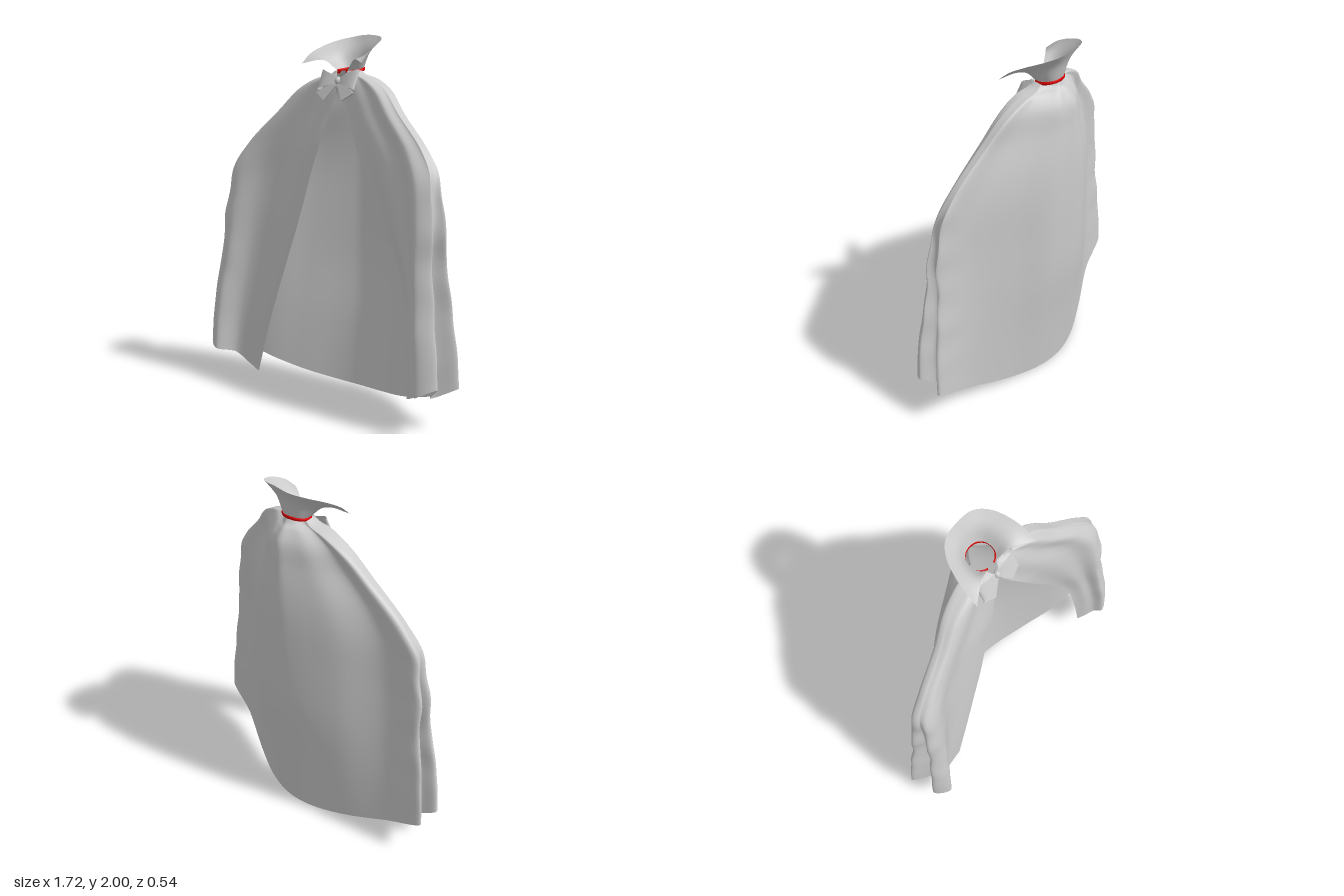
import * as THREE from 'three';

const V = (x, y, z) => new THREE.Vector3(x, y, z);
const lerp = THREE.MathUtils.lerp;
const grey = new THREE.MeshStandardMaterial({ color: 0xcccccc, side: THREE.DoubleSide });
const red = new THREE.MeshStandardMaterial({ color: 0xdd0000, side: THREE.DoubleSide });

// Smooth surface from a rule point(u, v), u and v in 0..1
function sheet(name, nu, nv, point, material = grey) {
  const pos = [], index = [];
  for (let j = 0; j <= nv; j++) {
    for (let i = 0; i <= nu; i++) pos.push(...point(i / nu, j / nv).toArray());
  }
  const n = nu + 1;
  for (let j = 0; j < nv; j++) {
    for (let i = 0; i < nu; i++) {
      const a = j * n + i, b = a + 1, c = a + n, d = c + 1;
      index.push(a, c, b, b, c, d);
    }
  }
  const geo = new THREE.BufferGeometry();
  geo.setAttribute('position', new THREE.Float32BufferAttribute(pos, 3));
  geo.setIndex(index);
  geo.computeVertexNormals();
  const mesh = new THREE.Mesh(geo, material);
  mesh.name = name;
  return mesh;
}

// Surface through cross-section curves, listed top to bottom
function loft(name, sections, nu, nv, adjust = p => p) {
  const curves = sections.map(s => new THREE.CatmullRomCurve3(s, false, 'centripetal'));
  const columns = [];
  for (let i = 0; i <= nu; i++) {
    columns.push(new THREE.CatmullRomCurve3(curves.map(c => c.getPoint(i / nu)), false, 'centripetal'));
  }
  return sheet(name, nu, nv, (u, v) => adjust(columns[Math.round(u * nu)].getPoint(v), u, v));
}

// Cape rows: height, half width, z of back, side, front fold and front edge,
// x of the right and left front edges, depth of the side folds
const rows = [
  [1.805, 0.078, -0.168, -0.10, -0.05, -0.035, 0.04, 0.04, 0],
  [1.785, 0.11, -0.178, -0.10, -0.04, -0.02, 0.03, 0.03, 0],
  [1.76, 0.205, -0.20, -0.09, -0.01, 0.00, 0.015, 0.02, 0],
  [1.70, 0.32, -0.235, -0.065, 0.015, 0.01, 0.01, 0.02, 0],
  [1.58, 0.445, -0.25, -0.02, 0.05, 0.025, 0.04, 0.07, 0],
  [1.40, 0.64, -0.265, 0.03, 0.10, 0.05, 0.10, 0.17, 0],
  [1.25, 0.735, -0.27, 0.055, 0.145, 0.06, 0.15, 0.25, 0.15],
  [1.00, 0.775, -0.27, 0.065, 0.185, 0.08, 0.22, 0.39, 0.5],
  [0.70, 0.80, -0.26, 0.06, 0.215, 0.10, 0.32, 0.53, 0.8],
  [0.35, 0.84, -0.22, 0.055, 0.25, 0.12, 0.43, 0.585, 0.9],
  [0.00, 0.86, -0.185, 0.05, 0.265, 0.13, 0.52, 0.62, 1],
];

function capeSection([y, w, zb, zs, zf, ze, xR, xL, fold]) {
  const hem = Math.max(0, 1 - y / 0.8);
  // The right panel hangs flat up to its fold, the left one is bunched and shorter
  const half = (s, edge, edgeZ, near, far, drop, rise) => {
    const front = 0.87 * w;
    return [
      [edge, edgeZ, drop],
      [lerp(edge, front, 0.35), lerp(edgeZ, zf, near), lerp(drop, rise, 0.5)],
      [lerp(edge, front, 0.7), lerp(edgeZ, zf, far), rise],
      [front, zf, rise],
      [w * 0.97, lerp(zs, zf, 0.7), rise],
      [w * (0.995 - 0.125 * fold), lerp(zs, zf, 0.42), 0],
      [w, zs, 0],
      [0.75 * w, lerp(zb, zs, 0.83), 0],
      [0.45 * w, lerp(zb, zs, 0.41), 0],
      [0.2 * w, lerp(zb, zs, 0.1), 0],
    ].map(([x, z, dy]) => V(s * x, y + 0.31 * hem * x * x + dy * hem, z));
  };
  return [...half(-1, xR, ze, 0.1, 0.27, -0.035, 0), V(0, y, zb),
    ...half(1, xL, ze + 0.04 * hem, 0.3, 0.55, 0.03, 0.035).reverse()];
}

// Soft pleats from the neck and creases along the sides
function wrinkle(p, u, v) {
  const mid = Math.sin(Math.PI * v);
  const side = THREE.MathUtils.smoothstep(Math.abs(p.x), 0.6, 0.8) * mid;
  p.z += 0.005 * mid * Math.sin(u * 75) + 0.004 * side * Math.sin(p.y * 27);
  p.x += 0.009 * side * Math.sin(p.y * 19 + Math.sign(p.x));
  return p;
}

// Flared collar, open at the front
function makeCollar() {
  const mirror = half => [...half.map(([x, y, z]) => V(-x, y, z)),
    ...half.slice(0, -1).reverse().map(([x, y, z]) => V(x, y, z))];
  const rim = mirror([[0.216, 1.842, 0.062], [0.214, 1.895, 0.0], [0.197, 1.937, -0.08],
    [0.16, 1.97, -0.165], [0.098, 1.99, -0.222], [0, 2.0, -0.235]]);
  const middle = mirror([[0.11, 1.86, 0.0], [0.125, 1.87, -0.04], [0.122, 1.885, -0.09],
    [0.10, 1.905, -0.145], [0.06, 1.915, -0.18], [0, 1.92, -0.195]]);
  const neck = mirror([[0.035, 1.803, -0.03], [0.062, 1.808, -0.055], [0.073, 1.814, -0.095],
    [0.064, 1.821, -0.135], [0.036, 1.826, -0.16], [0, 1.828, -0.167]]);
  return loft('collar', [rim, middle, neck], 48, 12);
}

// Neck ribbon following the collar base
function makeRibbon() {
  return sheet('neckRibbon', 48, 10, (u, v) => {
    const a = lerp(-2.85, 2.85, u), b = v * Math.PI * 2;
    const r = 0.078 + 0.004 * Math.cos(b);
    const z = -0.1 - r * 0.88 * Math.cos(a);
    return V(r * Math.sin(a), 1.79 - 0.17 * z + 0.009 * Math.sin(b), z);
  }, red);
}

function makeBow() {
  const bow = new THREE.Group();
  bow.name = 'bow';
  for (const s of [-1, 1]) {
    // Puffed loop, open at top and bottom
    bow.add(sheet('bowLoop', 28, 8, (u, v) => {
      const a = u * Math.PI * 2, t = (1 - Math.cos(a)) / 2;
      const h = lerp(0.018, 0.058, t);
      return V(s * (0.008 + 0.124 * t), 0.006 * t + (v * 2 - 1) * h,
        0.019 * Math.sin(a) * Math.sqrt(t + 0.05));
    }));
    // Hanging tail with a slanted end
    const shape = new THREE.Shape([[0, 0], [0.03, -0.008], [0.135, -0.07], [0.065, -0.115], [0.006, -0.03]]
      .map(([x, y]) => new THREE.Vector2(s * x, y)));
    const tail = new THREE.Mesh(new THREE.ExtrudeGeometry(shape, { depth: 0.01, bevelEnabled: false }), grey);
    tail.name = 'bowTail';
    tail.position.z = -0.008;
    bow.add(tail);
  }
  const knot = new THREE.Mesh(new THREE.SphereGeometry(0.02, 16, 12), grey);
  knot.name = 'bowKnot';
  knot.scale.set(0.85, 1.15, 0.95);
  bow.add(knot);
  bow.position.set(0, 1.75, 0.005);
  bow.rotation.x = -0.4;
  return bow;
}

export function createModel() {
  const model = new THREE.Group();
  model.name = 'cape';
  model.add(loft('capeCloth', rows.map(capeSection), 160, 80, wrinkle));
  model.add(makeCollar(), makeRibbon(), makeBow());
  return model;
}
